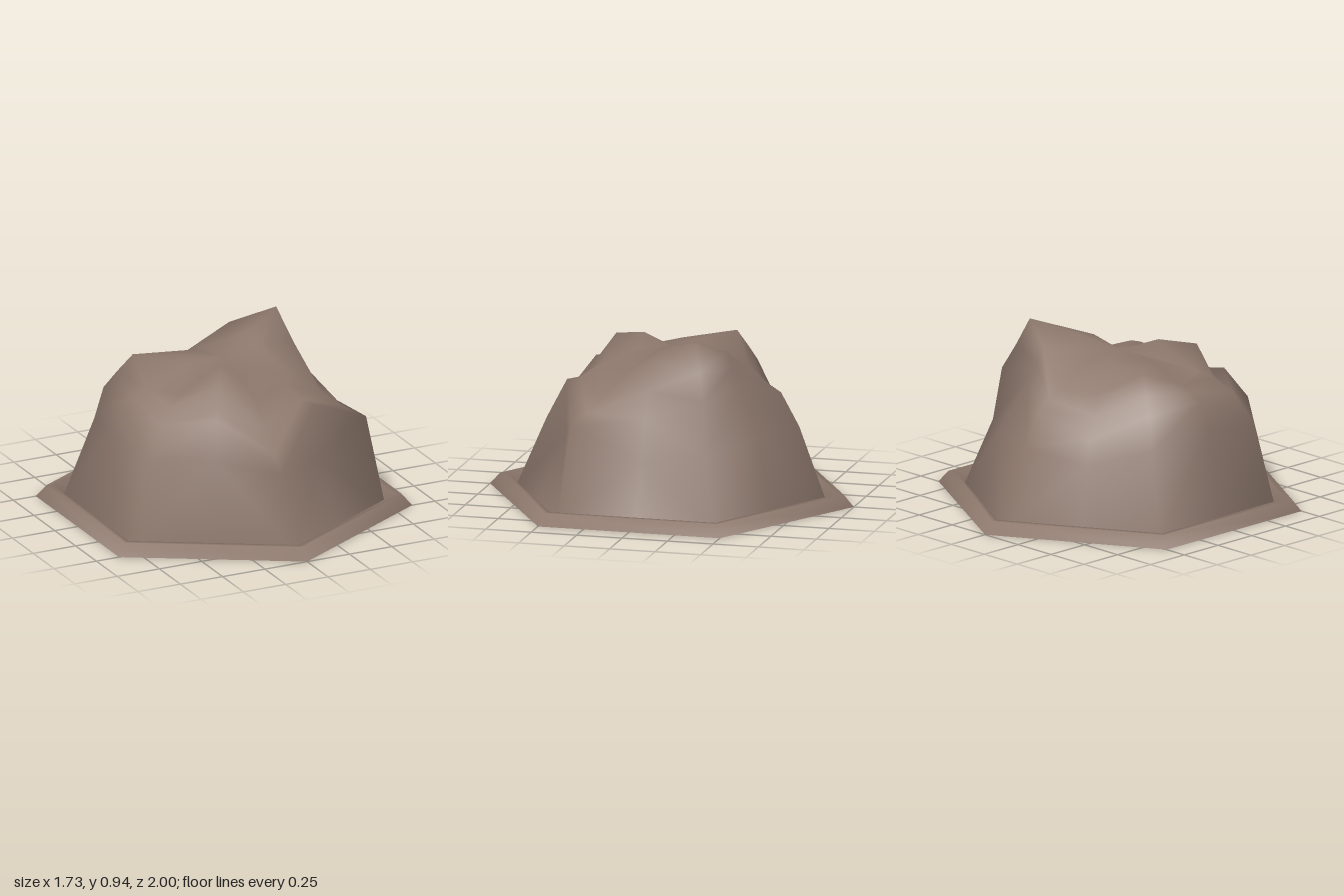
import * as THREE from 'three';

// One ridge every 30 degrees, clockwise from +x seen from above: [radius, height] outwards
const RIDGES = [
  [[0.20, 0.855], [0.41, 0.835], [0.48, 0.68], [0.55, 0.54], [0.61, 0.33]], // +x side
  [[0.20, 0.78], [0.36, 0.72], [0.52, 0.63], [0.63, 0.555], [0.755, 0.50]], // corner ledge
  [[0.22, 0.80], [0.40, 0.74], [0.50, 0.68], [0.575, 0.67], [0.58, 0.36]], // undercut wall
  [[0.20, 0.78], [0.38, 0.71], [0.50, 0.60], [0.61, 0.48], [0.69, 0.38]], // front
  [[0.21, 0.855], [0.42, 0.815], [0.47, 0.68], [0.57, 0.67], [0.70, 0.50]],
  [[0.22, 0.78], [0.42, 0.73], [0.52, 0.70], [0.62, 0.63], [0.735, 0.47]],
  [[0.22, 0.81], [0.46, 0.72], [0.54, 0.69], [0.615, 0.66], [0.68, 0.50]], // -x side
  [[0.22, 0.82], [0.485, 0.82], [0.57, 0.72], [0.64, 0.63], [0.69, 0.45]],
  [[0.22, 0.81], [0.42, 0.69], [0.50, 0.59], [0.58, 0.48], [0.66, 0.36]],
  [[0.26, 0.79], [0.43, 0.70], [0.52, 0.65], [0.60, 0.60], [0.70, 0.42]], // back
  [[0.21, 0.84], [0.42, 0.855], [0.45, 0.77], [0.50, 0.69], [0.66, 0.42]],
  [[0.24, 0.885], [0.497, 0.945], [0.57, 0.80], [0.65, 0.66], [0.70, 0.37]], // highest peak
];
const RIM = 0.856;

// Hollow rock shell: rings of points lofted from the summit to a hexagonal foot
function rockGeometry() {
  const n = RIDGES.length;
  const rings = RIDGES[0].length + 1;
  const pos = [0, 0.815, 0];
  const index = [];
  for (let k = 0; k < rings; k++) {
    for (let i = 0; i < n; i++) {
      const a = (i * Math.PI) / 6;
      const foot = [i % 2 ? RIM : RIM * Math.cos(Math.PI / 6), 0];
      const [r, y] = RIDGES[i][k] ?? foot;
      pos.push(r * Math.cos(a), y, r * Math.sin(a));
    }
  }
  const id = (k, i) => 1 + k * n + (i % n);
  for (let i = 0; i < n; i++) {
    index.push(0, id(0, i + 1), id(0, i));
    for (let k = 0; k < rings - 1; k++) {
      const a = id(k, i), b = id(k, i + 1), c = id(k + 1, i), d = id(k + 1, i + 1);
      // Diagonals mirror about each ridge
      if (i % 2) index.push(a, b, c, b, d, c);
      else index.push(a, b, d, a, d, c);
    }
  }
  const geo = new THREE.BufferGeometry();
  geo.setAttribute('position', new THREE.Float32BufferAttribute(pos, 3));
  geo.setIndex(index);
  geo.computeVertexNormals();
  return geo;
}

export function createModel() {
  const group = new THREE.Group();
  group.name = 'rockTile';
  const stone = new THREE.MeshStandardMaterial({ color: 0x8d786c, side: THREE.DoubleSide });
  stone.name = 'brown stone';

  const rock = new THREE.Mesh(rockGeometry(), stone);
  rock.name = 'rockMound';

  // Six-sided bevelled border, open underneath
  const profile = [[1, 0], [0.945, 0.063], [0.91, 0.063], [0.856, 0]]
    .map(([r, y]) => new THREE.Vector2(r, y));
  const border = new THREE.Mesh(new THREE.LatheGeometry(profile, 6), stone);
  border.name = 'hexBorder';

  group.add(rock, border);
  return group;
}
